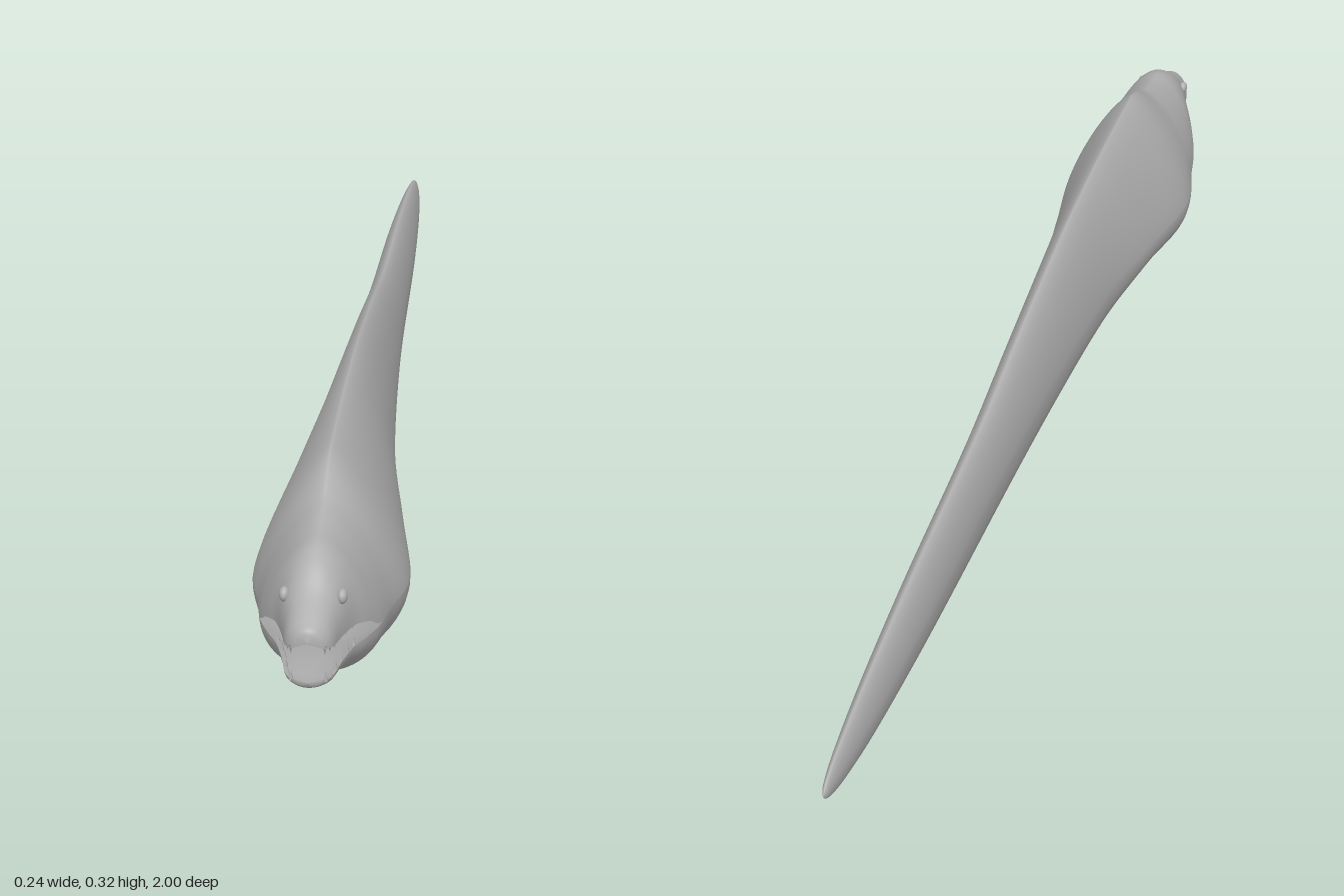
import * as THREE from 'three';
import { mergeGeometries, mergeVertices } from 'three/addons/utils/BufferGeometryUtils.js';

// Stations: z, top y, bottom y, half width, upper roundness, upper lip y, lower lip y
const STATIONS = [
  [1.0, 0.178, 0.112, 0.0, 2.0, 0.176, 0.114],
  [0.995, 0.193, 0.104, 0.02, 2.0, 0.167, 0.116],
  [0.98, 0.202, 0.098, 0.033, 2.1, 0.162, 0.116],
  [0.94, 0.222, 0.086, 0.043, 2.2, 0.157, 0.118],
  [0.90, 0.252, 0.073, 0.056, 2.0, 0.153, 0.119],
  [0.865, 0.266, 0.057, 0.074, 1.7, 0.142, 0.119],
  [0.83, 0.27, 0.037, 0.088, 1.6, 0.121, 0.119],
  [0.77, 0.282, 0.02, 0.099, 1.5, 0.115, 0.115],
  [0.67, 0.324, 0.002, 0.118, 1.3, 0.11, 0.11],
  [0.5, 0.326, 0.03, 0.094, 1.35, 0.12, 0.12],
  [0.3, 0.318, 0.032, 0.065, 1.45, 0.135, 0.135],
  [0.0, 0.28, 0.035, 0.046, 1.55, 0.14, 0.14],
  [-0.25, 0.238, 0.039, 0.036, 1.6, 0.135, 0.135],
  [-0.6, 0.208, 0.055, 0.029, 1.6, 0.13, 0.13],
  [-0.85, 0.175, 0.076, 0.019, 1.6, 0.125, 0.125],
  [-0.96, 0.15, 0.097, 0.01, 1.7, 0.124, 0.124],
  [-0.99, 0.136, 0.11, 0.005, 1.8, 0.123, 0.123],
  [-1.0, 0.123, 0.121, 0.0, 2.0, 0.122, 0.122],
];

// Slope at a station, limited so that the smooth curve never overshoots
function slope(k, c) {
  const last = STATIONS.length - 1;
  if (k === 0) return STATIONS[1][c] - STATIONS[0][c];
  if (k === last) return STATIONS[last][c] - STATIONS[last - 1][c];
  const a = STATIONS[k][c] - STATIONS[k - 1][c];
  const b = STATIONS[k + 1][c] - STATIONS[k][c];
  return a * b <= 0 ? 0 : (2 * a * b) / (a + b);
}

function sectionAt(s) {
  const k = Math.min(Math.floor(s), STATIONS.length - 2);
  const f = s - k, g = 1 - f;
  const v = STATIONS[k].map((p, c) =>
    p * (1 + 2 * f) * g * g + slope(k, c) * f * g * g +
    STATIONS[k + 1][c] * f * f * (3 - 2 * f) - slope(k + 1, c) * f * f * g);
  const [z, top, bottom, width, round, upperLip, lowerLip] = v;
  return { z, top, bottom, width, round, upperLip, lowerLip };
}

// Surface strung over the sections; point(section, u) gives x and y
function skin(sections, across, point) {
  const positions = [], index = [];
  sections.forEach((sec, i) => {
    for (let j = 0; j <= across; j++) {
      const [x, y] = point(sec, j / across);
      positions.push(x, y, sec.z);
      if (i && j) {
        const d = i * (across + 1) + j, c = d - 1;
        const b = d - across - 1, a = b - 1;
        index.push(a, c, b, b, c, d);
      }
    }
  });
  const geometry = new THREE.BufferGeometry();
  geometry.setAttribute('position', new THREE.Float32BufferAttribute(positions, 3));
  geometry.setIndex(index);
  return geometry;
}

const power = (v, n) => Math.sign(v) * Math.pow(Math.abs(v), 2 / n);

function upperPoint(s, u) {
  const t = u * Math.PI;
  return [s.width * power(Math.cos(t), s.round),
    s.upperLip + (s.top - s.upperLip) * power(Math.sin(t), s.round)];
}

function lowerPoint(s, u) {
  const t = u * Math.PI;
  return [-s.width * Math.cos(t), s.lowerLip - (s.lowerLip - s.bottom) * Math.sin(t)];
}

function palatePoint(s, u) {
  const x = 2 * u - 1;
  return [x * s.width, s.upperLip + 0.3 * (s.top - s.upperLip) * (1 - x * x)];
}

function mouthFloorPoint(s, u) {
  const x = 1 - 2 * u;
  return [x * s.width, s.lowerLip - 0.4 * (s.lowerLip - s.bottom) * (1 - x * x)];
}

export function createModel() {
  const group = new THREE.Group();
  const grey = new THREE.MeshStandardMaterial({ color: 0xb0b0b0 });
  grey.name = 'grey skin';
  const add = (name, geometry) => {
    const mesh = new THREE.Mesh(geometry, grey);
    mesh.name = name;
    group.add(mesh);
    return mesh;
  };

  const steps = 6;
  const sections = [];
  for (let i = 0; i <= (STATIONS.length - 1) * steps; i++) sections.push(sectionAt(i / steps));

  // Body, snout and lower jaw as one smooth skin, parted at the mouth
  const body = mergeVertices(mergeGeometries([
    skin(sections, 32, upperPoint),
    skin(sections, 32, lowerPoint),
  ]), 1e-5);
  body.computeVertexNormals();
  add('body', body);

  // Inside of the mouth, tapering back into a throat
  const mouth = sections.slice(0, 7 * steps + 1);
  for (const [name, point] of [['palate', palatePoint], ['mouthFloor', mouthFloorPoint]]) {
    const geometry = skin(mouth, 16, point);
    geometry.computeVertexNormals();
    add(name, geometry);
  }

  // Small pointed teeth along both lips
  for (const side of [-1, 1]) {
    for (let i = 0; i < 6; i++) {
      const s = sectionAt(1.5 + i * 0.55);
      const height = i % 2 ? 0.012 : 0.017;
      const tooth = new THREE.ConeGeometry(0.0035, height, 6);
      add('lowerTooth', tooth).position.set(side * s.width * 0.9, s.lowerLip + height * 0.3, s.z);
      const upper = add('upperTooth', tooth);
      upper.position.set(side * s.width * 0.88, s.upperLip - height * 0.15, s.z);
      upper.rotation.x = Math.PI;
    }
  }

  // Low eye bumps on the sides of the snout
  for (const side of [-1, 1]) {
    const eye = add('eye', new THREE.SphereGeometry(0.011, 16, 12));
    eye.position.set(side * 0.041, 0.209, 0.918);
    eye.scale.x = 0.7;
  }
  return group;
}
